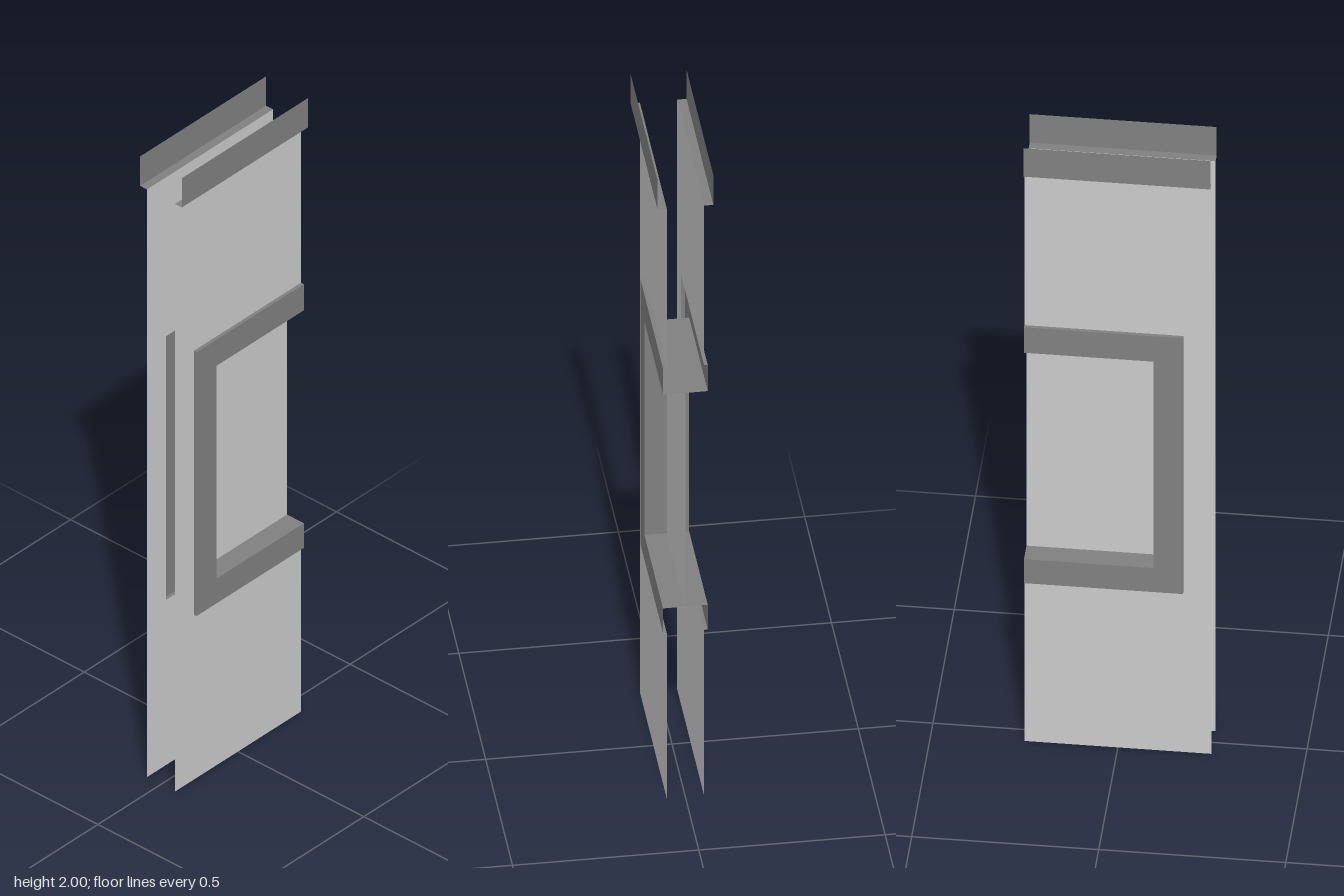
import * as THREE from 'three';

const wallMat = new THREE.MeshStandardMaterial({ color: 0xcccccc, side: THREE.DoubleSide, flatShading: true });
const trimMat = new THREE.MeshStandardMaterial({ color: 0x808080, side: THREE.DoubleSide, flatShading: true });

const BACK = -0.25, FRONT = 0.25, TOP = 2;
const WALL_X = 0.05, TRIM_X = 0.06, RAIL_X = 0.075;
const RAIL_Y = 1.905;
// window opening and the outer edge of its trim: bottom, top, front
const OPEN = { y0: 0.615, y1: 1.305, z: 0.097 };
const TRIM = { y0: 0.535, y1: 1.39, z: 0.175 };

// flat outline given as [z, y], standing at x and facing -x
function sheet(name, points, x, material) {
  const shape = new THREE.Shape(points.map(([z, y]) => new THREE.Vector2(z, y)));
  const mesh = new THREE.Mesh(new THREE.ShapeGeometry(shape).rotateY(-Math.PI / 2), material);
  mesh.position.x = x;
  mesh.name = name;
  return mesh;
}

// flat strip from x0 to x1, swept along a path of [z, y] points
function strip(name, path, x0, x1, material) {
  const pos = [], index = [];
  for (let i = 0; i < path.length - 1; i++) {
    for (const [z, y] of [path[i], path[i + 1]]) pos.push(x0, y, z, x1, y, z);
    const k = i * 4;
    index.push(k, k + 1, k + 2, k + 1, k + 3, k + 2);
  }
  const geo = new THREE.BufferGeometry();
  geo.setAttribute('position', new THREE.Float32BufferAttribute(pos, 3));
  geo.setIndex(index);
  geo.computeVertexNormals();
  const mesh = new THREE.Mesh(geo, material);
  mesh.name = name;
  return mesh;
}

// path around three sides of an opening that is open at the back
const around = (o) => [[BACK, o.y0], [o.z, o.y0], [o.z, o.y1], [BACK, o.y1]];

function createSide() {
  const side = new THREE.Group();
  // wall sheet, cut out behind the window trim
  side.add(sheet('wall', [
    [BACK, 0], [FRONT, 0], [FRONT, RAIL_Y], [BACK, RAIL_Y],
    ...around(TRIM).reverse(),
  ], -WALL_X, wallMat));
  // raised trim face and its outer edge
  side.add(sheet('windowTrim', [...around(TRIM), ...around(OPEN).reverse()], -TRIM_X, trimMat));
  side.add(strip('windowTrimEdge', around(TRIM), -WALL_X, -TRIM_X, trimMat));
  // top rail: ledge and upright
  side.add(strip('railLedge', [[FRONT, RAIL_Y], [BACK, RAIL_Y]], -WALL_X, -RAIL_X, trimMat));
  side.add(sheet('railFace', [[BACK, RAIL_Y], [FRONT, RAIL_Y], [FRONT, TOP], [BACK, TOP]], -RAIL_X, trimMat));
  return side;
}

export function createModel() {
  const model = new THREE.Group();
  model.name = 'wallWithWindow';

  const right = createSide();
  right.name = 'rightSide';
  const left = createSide();
  left.name = 'leftSide';
  left.scale.x = -1;
  model.add(right, left);

  // sill, jamb and lintel lining the opening
  model.add(strip('windowLining', around(OPEN), -TRIM_X, TRIM_X, trimMat));
  // pane in the middle of the opening
  model.add(sheet('windowPane', around(OPEN), 0, wallMat));
  return model;
}
